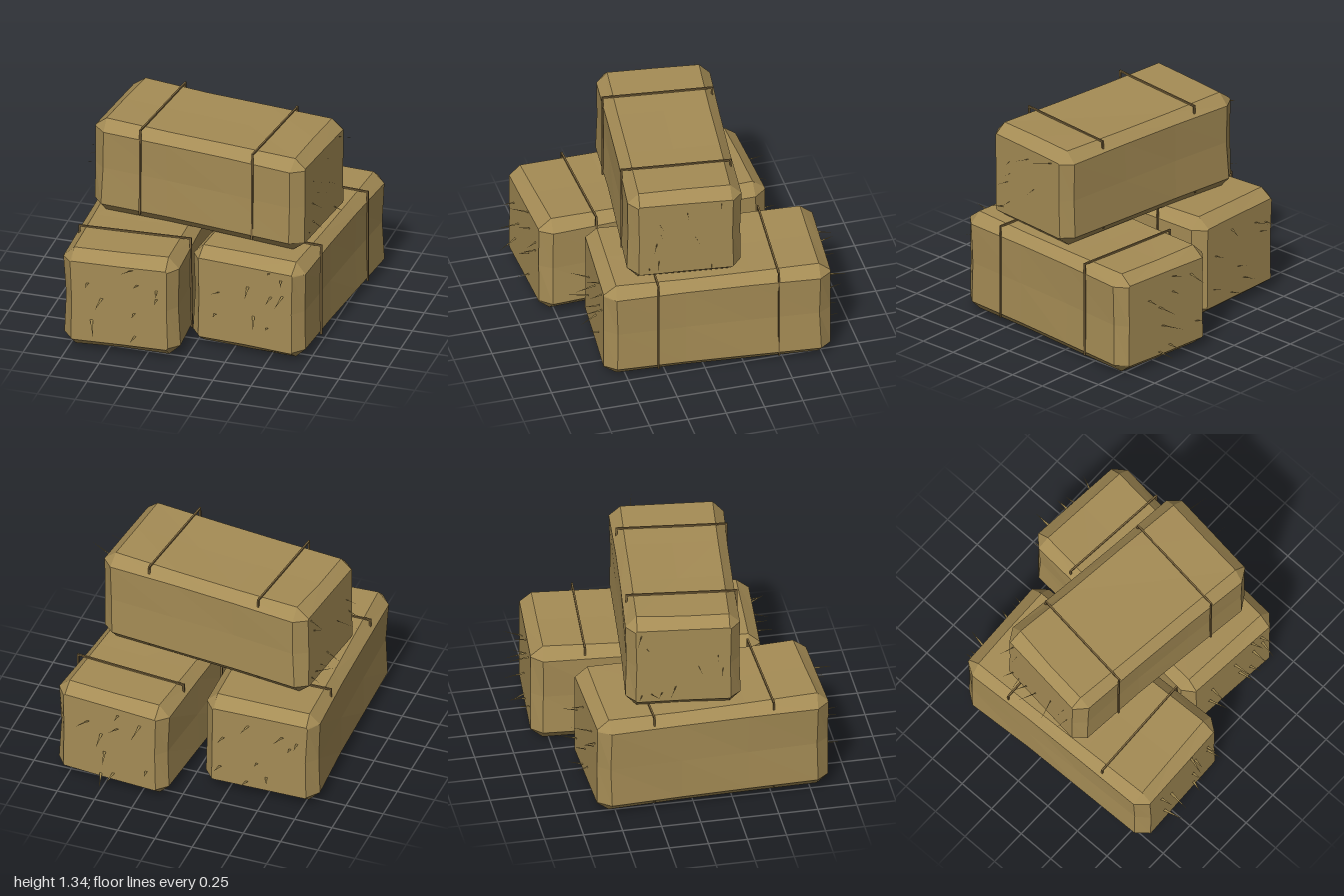
import * as THREE from 'three';

const hay = new THREE.MeshStandardMaterial({ color: 0xa58c55, flatShading: true });
hay.name = 'hay';
const twine = new THREE.MeshStandardMaterial({ color: 0x7a643c });
twine.name = 'twine';
const straw = new THREE.MeshStandardMaterial({ color: 0x9a844e, side: THREE.DoubleSide });
straw.name = 'straw';

// Small seeded random source
function seeded(seed) {
  let s = seed;
  return () => {
    s = (s * 16807) % 2147483647;
    return s / 2147483647;
  };
}

// Chamfered, slightly lumpy block lofted along z; w, h, l are half sizes
function blockGeometry(w, h, l, rnd) {
  const c = 0.07;
  const stations = [-l, -l + c, -l * 0.3, l * 0.3, l - c, l];
  const n = 12;
  const pos = [];
  const index = [];
  stations.forEach((z, s) => {
    const end = s === 0 || s === stations.length - 1;
    const middle = s === 2 || s === 3;
    const ow = end ? w - c + 0.008 : w - (middle ? 0.006 : 0);
    const oh = end ? h - c + 0.008 : h - (middle ? 0.006 : 0);
    const iw = w - c;
    const ih = h - c;
    const loop = [
      [ow, 0], [ow, ih], [iw, oh], [0, oh], [-iw, oh], [-ow, ih],
      [-ow, 0], [-ow, -ih], [-iw, -oh], [0, -oh], [iw, -oh], [ow, -ih],
    ];
    for (const [x, y] of loop) {
      const waist = y === 0 ? 0.98 : 1;
      pos.push(
        x * waist * (1 - 0.02 * rnd()),
        y * (1 - 0.02 * rnd()),
        end ? z : z - Math.sign(z) * 0.015 * rnd(),
      );
    }
  });
  for (let s = 0; s < stations.length - 1; s++) {
    for (let i = 0; i < n; i++) {
      const j = (i + 1) % n;
      const a = s * n + i, b = s * n + j, d = a + n, e = b + n;
      index.push(a, b, e, a, e, d);
    }
  }
  // Flat end caps
  const back = pos.length / 3;
  pos.push(0, 0, -l, 0, 0, l);
  const last = (stations.length - 1) * n;
  for (let i = 0; i < n; i++) {
    const j = (i + 1) % n;
    index.push(back, j, i, back + 1, last + i, last + j);
  }
  const geo = new THREE.BufferGeometry();
  geo.setAttribute('position', new THREE.Float32BufferAttribute(pos, 3));
  geo.setIndex(index);
  const flat = geo.toNonIndexed();
  flat.computeVertexNormals();
  return flat;
}

// Flat tapering blades fanning out of both ends, all spread along one direction
function strawGeometry(w, h, l, spread, rnd) {
  const pos = [];
  for (const end of [-1, 1]) {
    for (let i = 0; i < 9; i++) {
      const root = new THREE.Vector3(
        (rnd() * 2 - 1) * (w - 0.08),
        (rnd() * 2 - 1) * (h - 0.08),
        end * (l - 0.01),
      );
      const dir = new THREE.Vector3((rnd() - 0.5) * 0.8, (rnd() - 0.5) * 0.8, end).normalize();
      const tip = root.clone().addScaledVector(dir, 0.07 + 0.09 * rnd());
      const a = root.clone().addScaledVector(spread, -0.01);
      const b = root.clone().addScaledVector(spread, 0.01);
      pos.push(...a.toArray(), ...b.toArray(), ...tip.toArray());
    }
  }
  const geo = new THREE.BufferGeometry();
  geo.setAttribute('position', new THREE.Float32BufferAttribute(pos, 3));
  geo.computeVertexNormals();
  return geo;
}

function bar(name, sx, sy, sz, x, y, z) {
  const m = new THREE.Mesh(new THREE.BoxGeometry(sx, sy, sz), twine);
  m.name = name;
  m.position.set(x, y, z);
  return m;
}

function createBale({ name, w, h, l, seed, at, turn, tilt, roll }) {
  const rnd = seeded(seed);
  const bale = new THREE.Group();
  bale.name = name;

  const block = new THREE.Mesh(blockGeometry(w, h, l, rnd), hay);
  block.name = 'baleBlock';
  bale.add(block);

  // Two twine loops, open underneath and sunk into the -x side
  const t = 0.011;
  const outer = w - 0.006;
  const sunk = -(w - 0.03);
  for (const z of [-0.385, 0.385]) {
    const band = new THREE.Group();
    band.name = 'twineBand';
    band.add(
      bar('twineTop', outer - sunk + t, t, t, (outer + sunk) / 2, h - 0.002, z),
      bar('twineSide', t, 2 * h - 0.05, t, outer, 0.025, z),
      bar('twineSide', t, 2 * h - 0.05, t, sunk, 0.025, z),
    );
    bale.add(band);
  }

  const spread = new THREE.Vector3(Math.cos(turn), 0, Math.sin(turn));
  const stalks = new THREE.Mesh(strawGeometry(w, h, l, spread, rnd), straw);
  stalks.name = 'looseStraw';
  bale.add(stalks);

  bale.position.set(...at);
  bale.rotation.set(tilt, turn, roll, 'YXZ');
  return bale;
}

export function createModel() {
  const model = new THREE.Group();
  model.name = 'haystack';
  const bales = [
    { name: 'rightBale', w: 0.38, h: 0.342, l: 0.745, seed: 71, at: [-0.44, 0.355, 0.115], turn: 0.035, tilt: 0, roll: 0.012 },
    { name: 'leftBale', w: 0.385, h: 0.342, l: 0.725, seed: 1933, at: [0.4, 0.342, -0.115], turn: -0.085, tilt: 0, roll: 0 },
    { name: 'topBale', w: 0.365, h: 0.327, l: 0.72, seed: 507, at: [-0.012, 1.007, 0.028], turn: -Math.PI / 2 - 0.115, tilt: -0.007, roll: 0 },
  ];
  for (const b of bales) model.add(createBale(b));
  return model;
}
